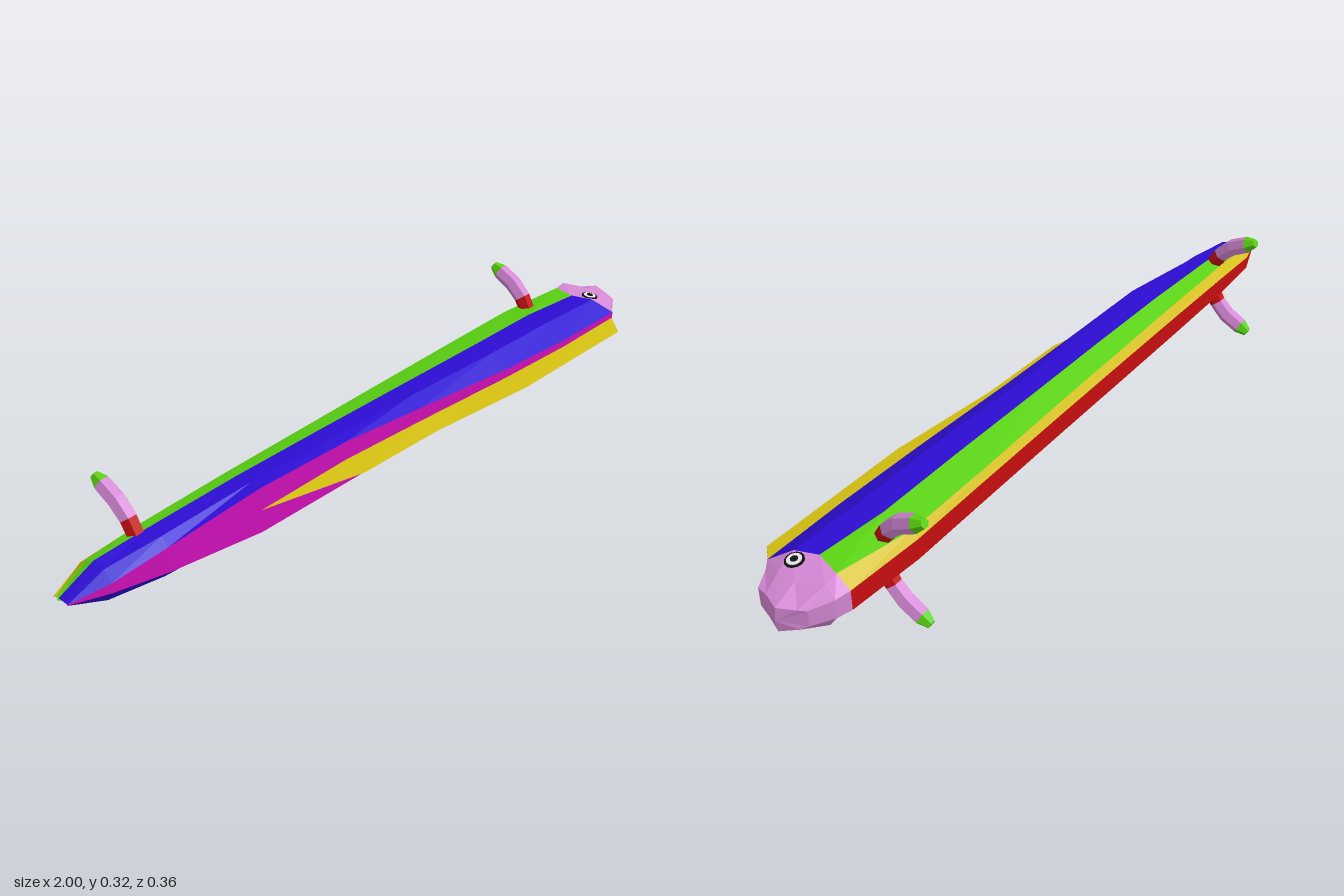
import * as THREE from 'three';

const mat = (name, color) => {
  const m = new THREE.MeshStandardMaterial({ color, flatShading: true });
  m.name = name;
  return m;
};

// Skin a grid of points: rows[i][j] = [x, y, z]; flip reverses the facing.
function skin(name, rows, material, flip = false) {
  const pos = [];
  for (let i = 0; i + 1 < rows.length; i++) {
    for (let j = 0; j + 1 < rows[i].length; j++) {
      const a = rows[i][j], b = rows[i + 1][j], c = rows[i + 1][j + 1], d = rows[i][j + 1];
      const tris = flip ? [a, c, b, a, d, c] : [a, b, c, a, c, d];
      tris.forEach(p => pos.push(...p));
    }
  }
  const g = new THREE.BufferGeometry();
  g.setAttribute('position', new THREE.Float32BufferAttribute(pos, 3));
  g.computeVertexNormals();
  const mesh = new THREE.Mesh(g, material);
  mesh.name = name;
  return mesh;
}

export function createModel() {
  const magenta = mat('magenta', 0xd010b8), blue = mat('blue', 0x2d0cd2);
  const green = mat('green', 0x5ad212), yellow = mat('yellow', 0xd2be10);
  const red = mat('red', 0xc60e0e), pink = mat('pink', 0xd488d4);
  const black = mat('black', 0x121212), white = mat('white', 0xeaeaea);

  const model = new THREE.Group();
  model.name = 'stripedCreature';
  const body = new THREE.Group();
  body.name = 'body';
  body.position.y = 0.161;
  model.add(body);

  // Half cross-sections: x, back z, back half width, then (z, y) for
  // the flank, blue/green edge, green/yellow edge, yellow/red edge
  const stations = [
    [-1.0, -0.005, 0.001, -0.015, 0.003, -0.035, 0.004, -0.045, 0.003, -0.052, 0.002],
    [-0.9, 0.02, 0.013, 0.0, 0.042, -0.035, 0.048, -0.062, 0.038, -0.086, 0.018],
    [-0.75, 0.035, 0.034, 0.015, 0.055, -0.03, 0.057, -0.068, 0.046, -0.09, 0.025],
    [-0.48, 0.051, 0.062, 0.02, 0.065, -0.025, 0.065, -0.072, 0.05, -0.092, 0.028],
    [-0.2, 0.06, 0.06, 0.03, 0.066, -0.02, 0.066, -0.076, 0.05, -0.094, 0.029],
    [0.07, 0.08, 0.047, 0.04, 0.065, -0.016, 0.065, -0.08, 0.05, -0.096, 0.029],
    [0.4, 0.108, 0.034, 0.055, 0.064, -0.01, 0.064, -0.086, 0.048, -0.1, 0.029],
    [0.65, 0.122, 0.028, 0.06, 0.062, -0.008, 0.063, -0.088, 0.048, -0.104, 0.029],
  ];
  const rows = stations.map(([x, zd, y1, z2, y2, z3, y3, z4, y4, z5, y5]) => [
    [x, 0, zd], [x, y1, zd], [x, y2, z2], [x, y3, z3], [x, y4, z4], [x, y5, z5], [x, 0, z5],
  ]);
  // Slanted collar where the body meets the head
  const collar = [[0.89, 0, 0.125], [0.89, 0.026, 0.125], [0.86, 0.06, 0.07], [0.84, 0.062, 0.012],
    [0.86, 0.058, -0.055], [0.86, 0.028, -0.092], [0.86, 0, -0.092]];
  rows.push(collar);

  // Head rings ending in a blunt snout
  const cheek = [[0.915, 0, 0.105], [0.915, 0.026, 0.105], [0.92, 0.048, 0.06], [0.925, 0.053, 0.005],
    [0.9, 0.059, -0.06], [0.9, 0.026, -0.083], [0.9, 0, -0.083]];
  const muzzle = [[0.965, 0, 0.078], [0.965, 0.026, 0.078], [0.975, 0.032, 0.045], [0.995, 0.034, -0.002],
    [0.97, 0.028, -0.04], [0.955, 0.022, -0.055], [0.955, 0, -0.055]];
  const tip = muzzle.map(() => [1, 0, -0.002]);

  const bands = [['backStripe', magenta], ['upperFlank', blue], ['lowerFlank', blue],
    ['greenStripe', green], ['yellowStripe', yellow], ['belly', red]];
  const mirror = (grid, s) => grid.map(r => r.map(([x, y, z]) => [x, y * s, z]));

  // Fin running along the back: x, outer z, base z
  const fin = [[-0.48, 0.051, 0.045], [-0.2, 0.125, 0.055], [0.07, 0.135, 0.075], [0.4, 0.173, 0.1],
    [0.84, 0.18, 0.12], [0.89, 0.125, 0.122]].map(([x, zt, zb]) => [[x, 0, zt], [x, 0.009, zb]]);

  // Leg centre line: z, y, radius
  const legPath = [[-0.042, 0.032, 0.02], [-0.07, 0.08, 0.021], [-0.104, 0.113, 0.022],
    [-0.151, 0.137, 0.021], [-0.176, 0.149, 0.011]];
  function legRings(x0, dz) {
    const rings = legPath.map(([z, y, r], i) => {
      const p = legPath[Math.max(i - 1, 0)], n = legPath[Math.min(i + 1, legPath.length - 1)];
      const l = Math.hypot(n[0] - p[0], n[1] - p[1]);
      const uz = -(n[1] - p[1]) / l, uy = (n[0] - p[0]) / l;
      return Array.from({ length: 7 }, (_, k) => {
        const a = k * Math.PI / 3, c = Math.cos(a) * r * 1.1, s = Math.sin(a) * r * 1.1;
        return [x0 + c, y + uy * s, z + dz + uz * s];
      });
    });
    const [z, y] = legPath[legPath.length - 1];
    rings.push(rings[4].map(() => [x0, y, z + dz]));
    return rings;
  }

  for (const s of [1, -1]) {
    const side = s > 0 ? 'left' : 'right', flip = s < 0;
    bands.forEach(([name, m], j) =>
      body.add(skin(name + '_' + side, mirror(rows.map(r => r.slice(j, j + 2)), s), m, flip)));
    body.add(skin('head_' + side, mirror([collar, cheek, muzzle, tip], s), pink, flip));
    body.add(skin('backFin_' + side, mirror(fin, s), yellow, flip));

    // Legs: red shoulder, pink limb, green foot
    for (const [name, x, dz] of [['frontLeg', 0.705, 0], ['hindLeg', -0.775, 0.006]]) {
      const leg = new THREE.Group();
      leg.name = name + '_' + side;
      const r = mirror(legRings(x, dz), s);
      leg.add(skin('shoulder', r.slice(0, 2), red, !flip),
        skin('limb', r.slice(1, 4), pink, !flip),
        skin('foot', r.slice(3), green, !flip));
      leg.children.forEach(c => { c.material.side = THREE.DoubleSide; });
      body.add(leg);
    }

    // Eyes: stacked thin discs set on the cheek
    const eye = new THREE.Group();
    eye.name = 'eye_' + side;
    [['rim', 0.023, black], ['eyeball', 0.018, white], ['pupil', 0.009, black]].forEach(([name, rad, m], i) => {
      const disc = new THREE.Mesh(new THREE.CylinderGeometry(rad, rad, 0.008, 12), m);
      disc.name = name;
      disc.position.y = i * 0.0015;
      eye.add(disc);
    });
    eye.position.set(0.88, s * 0.056, 0.048);
    eye.rotation.set(s > 0 ? 0.08 : Math.PI - 0.08, 0, -s * 0.12);
    body.add(eye);
  }
  return model;
}
